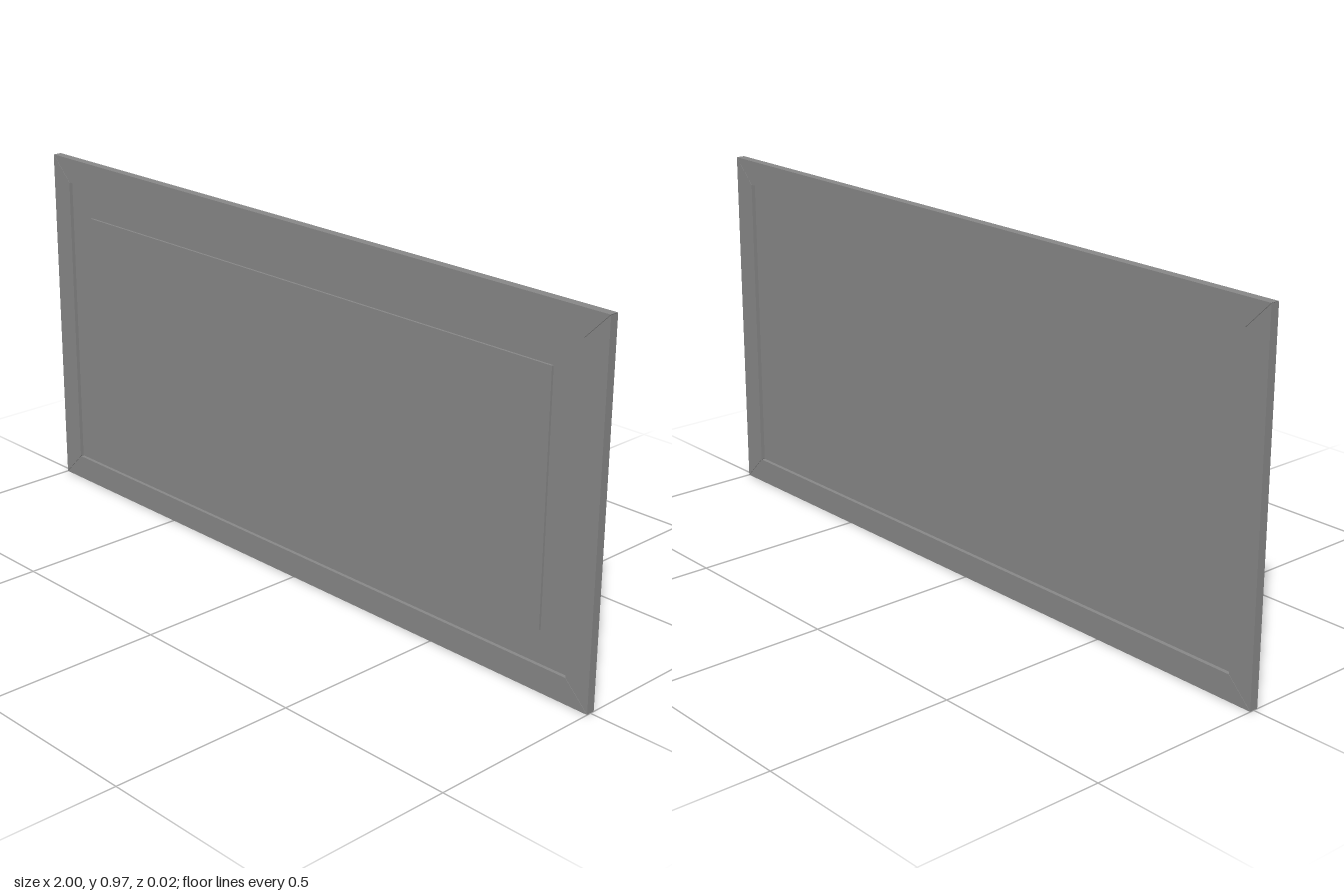
import * as THREE from 'three';

const W = 2, H = 0.974;          // outer size
const DEPTH = 0.024;             // frame thickness
const RAIL = 0.069;              // frame width
const FIELD = 0.158;             // margin of the raised field
const JOINT = 0.0006;            // hairline at each mitre

export function createModel() {
  const model = new THREE.Group();
  const mat = new THREE.MeshStandardMaterial({ color: 0x888888, flatShading: true });

  const add = (name, geometry, x, y, z) => {
    const mesh = new THREE.Mesh(geometry, mat);
    mesh.name = name;
    mesh.position.set(x, y, z);
    model.add(mesh);
    return mesh;
  };

  // Frame member with 45 degree mitred ends; outer edge lies on local y = 0
  const member = (length) => {
    const h = length / 2 - JOINT;
    const shape = new THREE.Shape([
      new THREE.Vector2(-h, 0),
      new THREE.Vector2(h, 0),
      new THREE.Vector2(h - RAIL, RAIL),
      new THREE.Vector2(-h + RAIL, RAIL),
    ]);
    return new THREE.ExtrudeGeometry(shape, { depth: DEPTH, bevelEnabled: false })
      .translate(0, 0, -DEPTH / 2);
  };

  // Four mitred frame members
  add('bottomRail', member(W), 0, 0, 0);
  add('topRail', member(W), 0, H, 0).rotation.z = Math.PI;
  add('leftStile', member(H), W / 2, H / 2, 0).rotation.z = Math.PI / 2;
  add('rightStile', member(H), -W / 2, H / 2, 0).rotation.z = -Math.PI / 2;

  // Slab of the given margin between two depths
  const slab = (name, margin, back, front) =>
    add(name, new THREE.BoxGeometry(W - 2 * margin, H - 2 * margin, front - back),
      0, H / 2, (back + front) / 2);

  // Recessed panel, and the raised field on its front
  slab('panel', RAIL, -0.001, 0.002);
  slab('raisedField', FIELD, 0.001, 0.008);

  return model;
}
